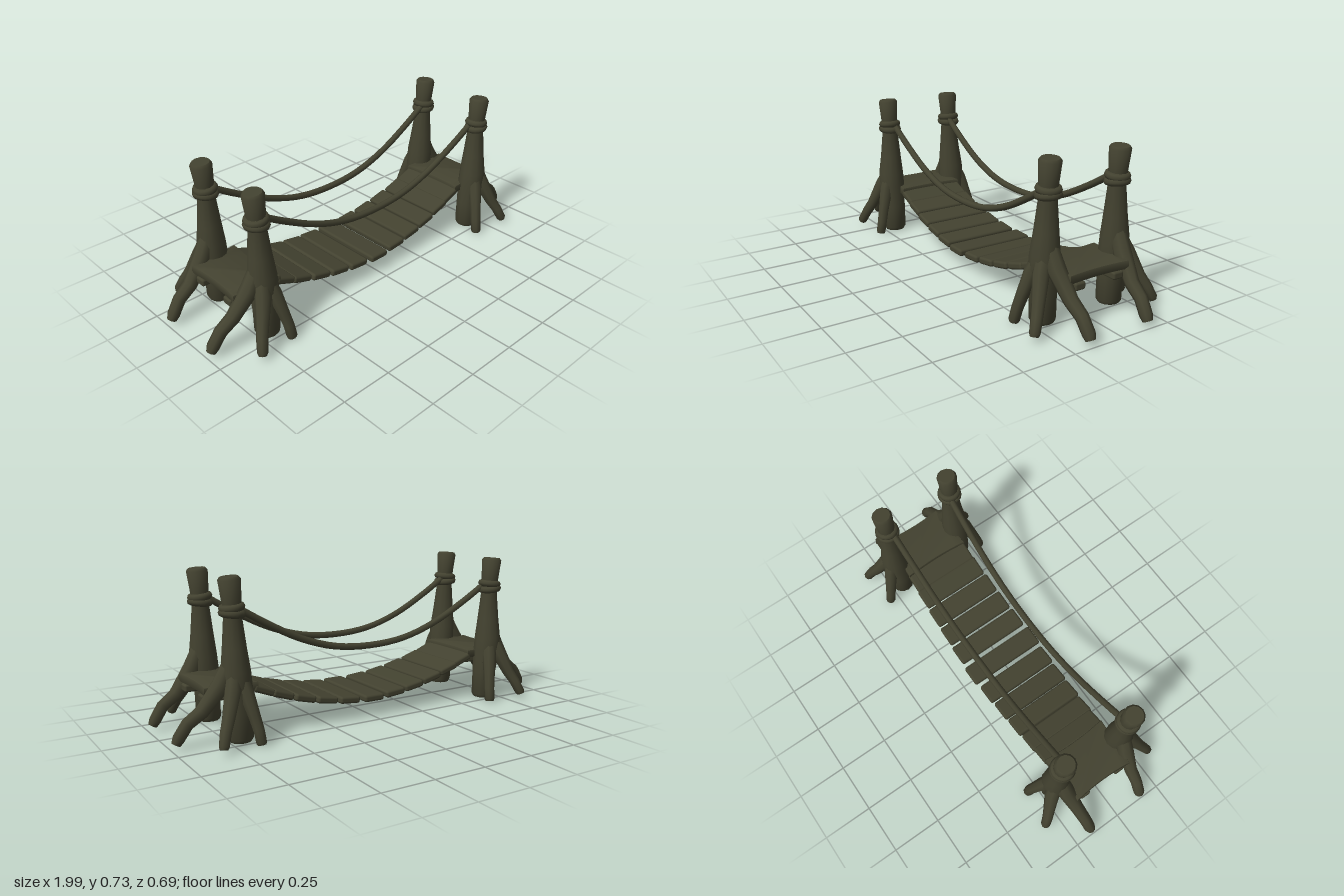
import * as THREE from 'three';
import { toCreasedNormals } from 'three/addons/utils/BufferGeometryUtils.js';
import { RoundedBoxGeometry } from 'three/addons/geometries/RoundedBoxGeometry.js';

// Closed limb lofted along nodes of [x, y, z, radius]
function limb(nodes, sides = 10) {
  const pts = nodes.map(n => new THREE.Vector3(n[0], n[1], n[2]));
  const pos = [], index = [];
  const ref = new THREE.Vector3(0, 0, 1);
  pts.forEach((p, i) => {
    const t = pts[Math.min(i + 1, pts.length - 1)].clone().sub(pts[Math.max(i - 1, 0)]).normalize();
    const u = ref.clone().cross(t).normalize();
    const v = t.clone().cross(u);
    for (let j = 0; j < sides; j++) {
      const a = j / sides * Math.PI * 2;
      const q = p.clone().addScaledVector(u, Math.cos(a) * nodes[i][3]).addScaledVector(v, Math.sin(a) * nodes[i][3]);
      pos.push(q.x, q.y, q.z);
    }
  });
  const last = pts.length - 1, c0 = pts.length * sides, c1 = c0 + 1;
  pos.push(...pts[0].toArray(), ...pts[last].toArray());
  for (let j = 0; j < sides; j++) {
    const k = (j + 1) % sides;
    for (let i = 0; i < last; i++) {
      const a = i * sides + j, b = i * sides + k;
      index.push(a, b, b + sides, a, b + sides, a + sides);
    }
    index.push(c0, k, j, c1, last * sides + j, last * sides + k);
  }
  const g = new THREE.BufferGeometry();
  g.setAttribute('position', new THREE.Float32BufferAttribute(pos, 3));
  g.setIndex(index);
  return toCreasedNormals(g, 0.9);
}

export function createModel() {
  const root = new THREE.Group();
  root.name = 'ropeBridge';
  const wood = new THREE.MeshStandardMaterial({ color: 0x434230 });
  wood.name = 'dark olive wood';
  const add = (name, geo, parent = root) => {
    const m = new THREE.Mesh(geo, wood);
    m.name = name;
    parent.add(m);
    return m;
  };

  // Trunk and its three splayed roots, for the post at +x, +z
  const trunk = [
    [0.695, 0.004, 0.185, 0.05], [0.695, 0.02, 0.185, 0.059], [0.697, 0.14, 0.186, 0.06],
    [0.706, 0.25, 0.19, 0.068], [0.71, 0.32, 0.19, 0.066], [0.712, 0.42, 0.187, 0.054],
    [0.715, 0.55, 0.185, 0.041], [0.718, 0.62, 0.185, 0.043], [0.726, 0.718, 0.185, 0.05],
    [0.727, 0.73, 0.185, 0.041],
  ];
  const roots = {
    outerRoot: [
      [0.72, 0.38, 0.185, 0.035], [0.775, 0.265, 0.178, 0.042], [0.86, 0.155, 0.165, 0.033],
      [0.925, 0.11, 0.16, 0.03], [0.965, 0.05, 0.155, 0.029], [0.978, 0.026, 0.155, 0.022],
    ],
    sideRoot: [
      [0.72, 0.34, 0.2, 0.03], [0.745, 0.245, 0.235, 0.037], [0.785, 0.14, 0.275, 0.029],
      [0.81, 0.09, 0.3, 0.026], [0.828, 0.038, 0.322, 0.024], [0.831, 0.026, 0.326, 0.018],
    ],
    innerRoot: [
      [0.705, 0.33, 0.2, 0.03], [0.685, 0.24, 0.235, 0.035], [0.662, 0.13, 0.268, 0.028],
      [0.65, 0.07, 0.284, 0.026], [0.645, 0.018, 0.296, 0.025], [0.644, 0.008, 0.298, 0.02],
    ],
  };

  for (const sx of [-1, 1]) {
    for (const sz of [-1, 1]) {
      const place = nodes => nodes.map(([x, y, z, r]) => [x * sx, y, z * sz, r]);
      const post = new THREE.Group();
      post.name = 'post';
      root.add(post);
      add('trunk', limb(place(trunk), 12), post);
      for (const name in roots) add(name, limb(place(roots[name]), 8), post);

      // Rope wound twice round the post
      for (const [y, r, tilt] of [[0.572, 0.042, 0.1], [0.598, 0.04, -0.12]]) {
        const wrap = add('ropeWrap', new THREE.TorusGeometry(r, 0.018, 8, 20), post);
        wrap.position.set(0.717 * sx, y, 0.184 * sz);
        wrap.rotation.set(Math.PI / 2, tilt * sx, 0);
      }

      // Support beam under the landing
      const beam = add('landingBeam', new RoundedBoxGeometry(0.23, 0.036, 0.055, 2, 0.01));
      beam.position.set(0.73 * sx, 0.197, 0.103 * sz);
    }

    // Landing board with ends bowed inward
    const s = new THREE.Shape();
    s.moveTo(0.605, -0.165);
    s.quadraticCurveTo(0.625, 0, 0.605, 0.165);
    s.lineTo(0.835, 0.15);
    s.quadraticCurveTo(0.815, 0, 0.835, -0.15);
    s.closePath();
    const g = new THREE.ExtrudeGeometry(s, {
      depth: 0.026, bevelThickness: 0.008, bevelSize: 0.008, bevelSegments: 2, curveSegments: 8,
    });
    g.rotateX(-Math.PI / 2);
    const landing = add('landing', toCreasedNormals(g, 0.7));
    landing.position.y = 0.222;
    if (sx < 0) landing.rotation.y = Math.PI;
  }

  // Hanging planks following the sag
  const plankX = [0, 0.13, 0.248, 0.362, 0.472, 0.565];
  const halfLengths = [0.205, 0.196, 0.19, 0.186, 0.18, 0.175];
  plankX.forEach((x, i) => {
    for (const s of i ? [-1, 1] : [1]) {
      const plank = add('plank', new RoundedBoxGeometry(0.108, 0.034, halfLengths[i] * 2, 2, 0.012));
      plank.position.set(x * s, 0.097 + 0.345 * x * x, 0);
      plank.rotation.z = Math.atan(0.69 * x) * s;
    }
  });

  // Handrail ropes
  for (const sz of [-1, 1]) {
    const curve = new THREE.CatmullRomCurve3(
      [[-0.71, 0.605], [-0.55, 0.51], [-0.37, 0.42], [-0.19, 0.365], [0, 0.349],
        [0.19, 0.365], [0.37, 0.42], [0.55, 0.51], [0.71, 0.605]]
        .map(([x, y]) => new THREE.Vector3(x, y, (0.16 + 0.02 * x * x) * sz)));
    add('handrailRope', new THREE.TubeGeometry(curve, 32, 0.016, 8));
  }
  return root;
}
